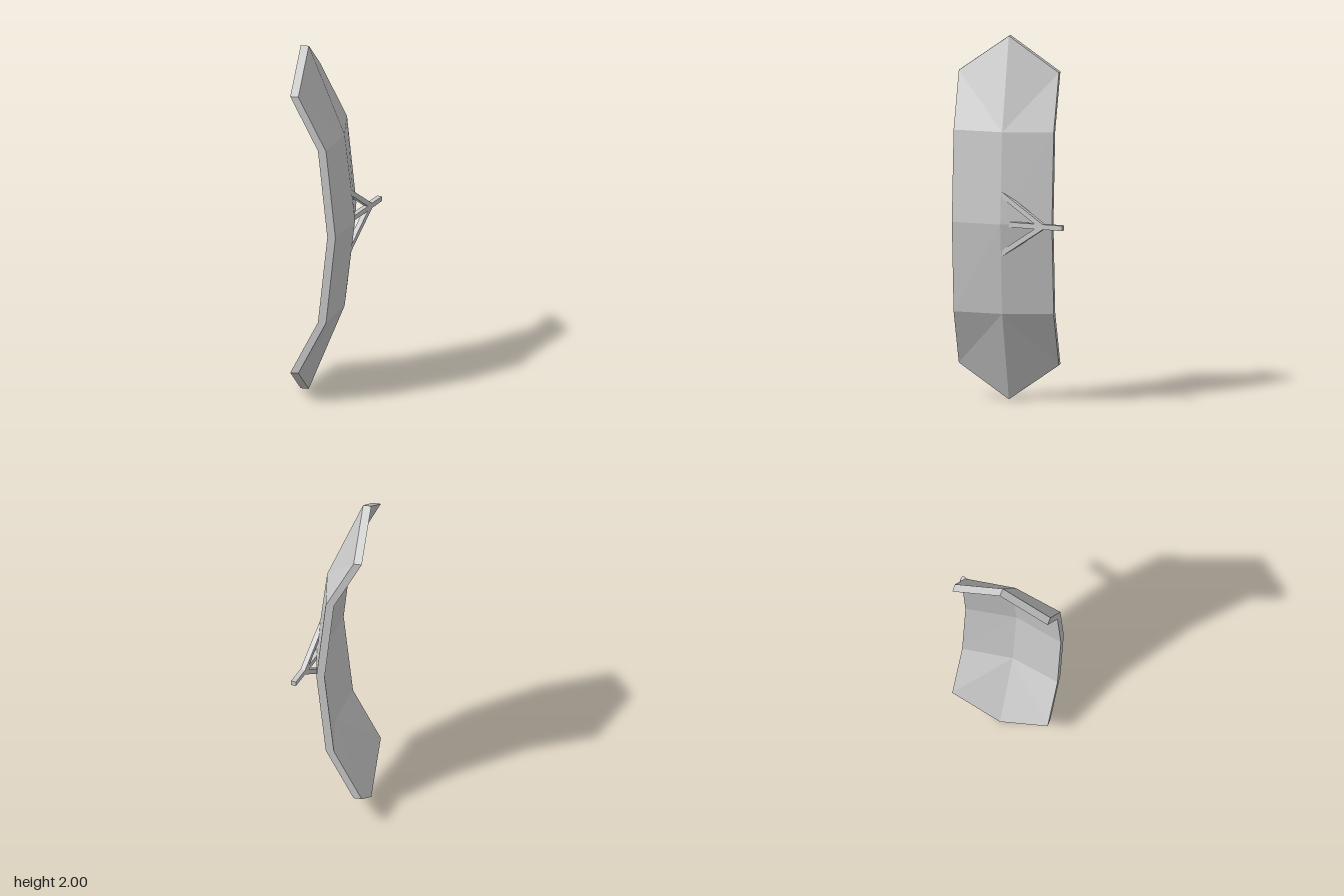
import * as THREE from 'three';

const material = new THREE.MeshStandardMaterial({ color: 0xcccccc, flatShading: true });

// Bowed plate: five rows of three points (front edge, ridge, back edge), given a thickness
function plateGeometry() {
  const thickness = 0.045, half = 0.277, mid = 0.051;
  // each row: edge height, ridge height, edge depth, ridge depth
  const rows = [
    [0.195, 0, -0.096, -0.096],
    [0.5, 0.5, 0.058, 0.103],
    [1, 1, 0.11, 0.161],
    [1.5, 1.5, 0.058, 0.103],
    [1.805, 2, -0.096, -0.096],
  ];
  const grid = rows.map(([ye, yc, we, wc]) => [
    [we, ye, mid + half], [wc, yc, mid], [we, ye, mid - half],
  ]);
  const inner = ([x, y, z]) => [x - thickness, y, z];
  const positions = [];
  const tri = (a, b, c) => positions.push(...a, ...b, ...c);
  const bothSides = (a, b, c) => { tri(a, b, c); tri(inner(a), inner(c), inner(b)); };

  // outer and inner faces, with creases running from the corners to the ridge
  for (let r = 0; r < 4; r++) {
    for (let k = 0; k < 2; k++) {
      const a = grid[r][k], b = grid[r][k + 1], c = grid[r + 1][k + 1], d = grid[r + 1][k];
      if ((r < 2) === (k === 0)) { bothSides(a, b, c); bothSides(a, c, d); }
      else { bothSides(a, b, d); bothSides(b, c, d); }
    }
  }

  // rim
  const rim = [
    ...grid[0], grid[1][2], grid[2][2], grid[3][2],
    ...[...grid[4]].reverse(), grid[3][0], grid[2][0], grid[1][0],
  ];
  rim.forEach((p, i) => {
    const q = rim[(i + 1) % rim.length];
    tri(q, p, inner(p));
    tri(q, inner(p), inner(q));
  });

  const geometry = new THREE.BufferGeometry();
  geometry.setAttribute('position', new THREE.Float32BufferAttribute(positions, 3));
  geometry.computeVertexNormals();
  return geometry;
}

// Square bar between two (z, y) points
function bar(name, [z0, y0], [z1, y1]) {
  const size = 0.028;
  const mesh = new THREE.Mesh(
    new THREE.BoxGeometry(size, size, Math.hypot(z1 - z0, y1 - y0)), material);
  mesh.position.set(0.134, (y0 + y1) / 2, (z0 + z1) / 2);
  mesh.rotation.x = -Math.atan2(y1 - y0, z1 - z0);
  mesh.name = name;
  return mesh;
}

export function createModel() {
  const model = new THREE.Group();
  model.name = 'bowedPanel';

  const panel = new THREE.Mesh(plateGeometry(), material);
  panel.name = 'panel';
  panel.rotation.y = Math.PI / 12;
  model.add(panel);

  // three-pronged bracket
  const bracket = new THREE.Group();
  bracket.name = 'bracket';
  bracket.add(bar('stem', [-0.355, 1], [0, 1]));
  for (const s of [1, -1]) {
    bracket.add(bar(s > 0 ? 'upperBrace' : 'lowerBrace', [-0.235, 1], [0.025, 1 + s * 0.172]));
  }
  model.add(bracket);
  return model;
}
